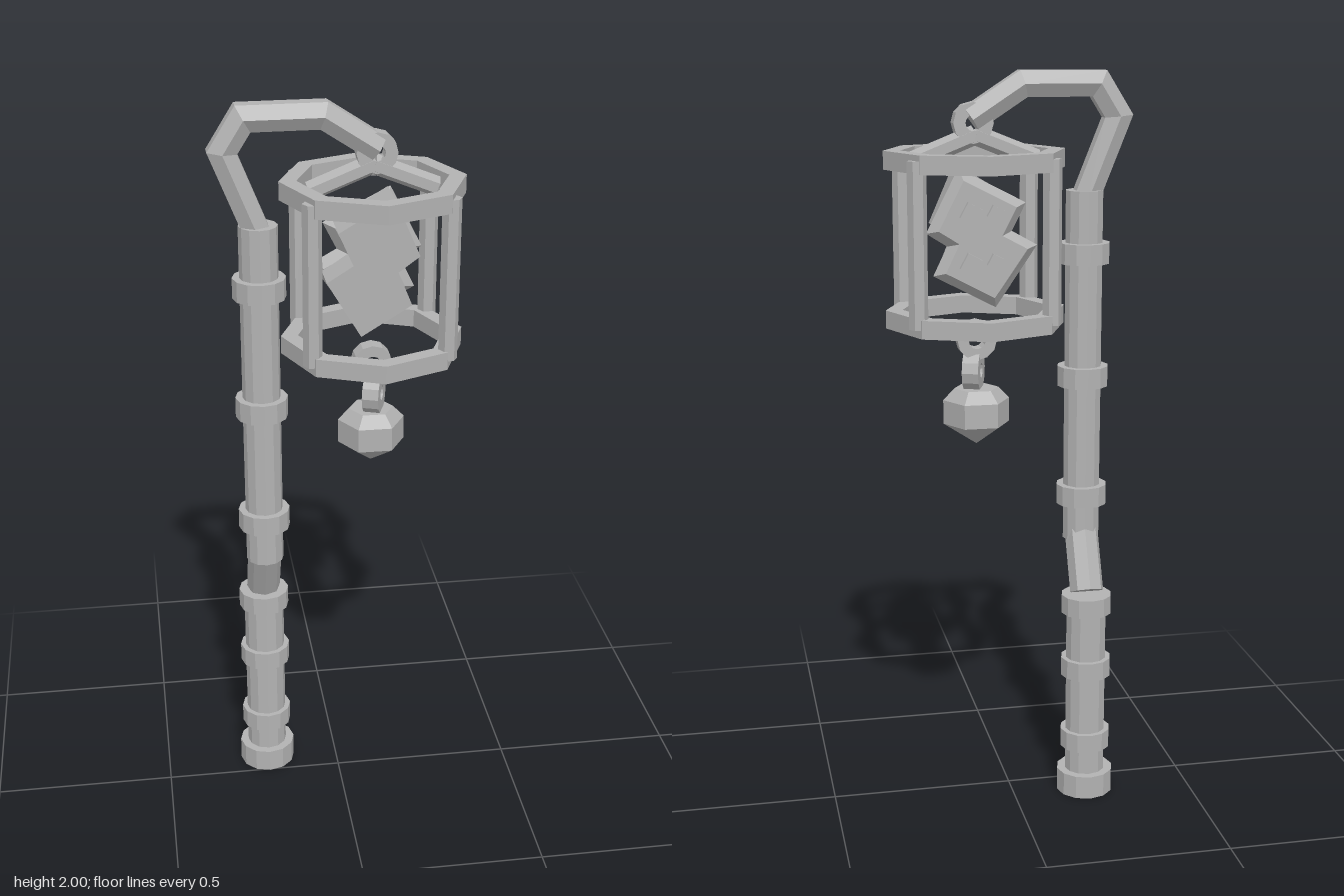
import * as THREE from 'three';

const grey = new THREE.MeshStandardMaterial({ color: 0xb2b2b2 });
grey.name = 'grey';

// Faceted mesh with a name
function part(name, geometry, x = 0, y = 0, z = 0) {
  const g = geometry.index ? geometry.toNonIndexed() : geometry;
  g.computeVertexNormals();
  const mesh = new THREE.Mesh(g, grey);
  mesh.name = name;
  mesh.position.set(x, y, z);
  return mesh;
}

// Upright prism between two heights
function prism(name, r, y0, y1, sides, x, z) {
  return part(name, new THREE.CylinderGeometry(r, r, y1 - y0, sides), x, (y0 + y1) / 2, z);
}

// Prism between two points, turned about its own axis
function bar(name, r, a, b, sides, twist = 0) {
  const p = new THREE.Vector3(...a), q = new THREE.Vector3(...b);
  const dir = q.clone().sub(p);
  const mesh = part(name, new THREE.CylinderGeometry(r, r, dir.length(), sides).rotateY(twist));
  mesh.position.copy(p).add(q).multiplyScalar(0.5);
  mesh.quaternion.setFromUnitVectors(new THREE.Vector3(0, 1, 0), dir.normalize());
  return mesh;
}

function polygon(r, sides) {
  return Array.from({ length: sides }, (_, i) => {
    const a = (i / sides) * Math.PI * 2;
    return new THREE.Vector2(Math.cos(a) * r, Math.sin(a) * r);
  });
}

// Flat polygonal ring, centred, facing z
function ringGeometry(outer, inner, depth, sides) {
  const shape = new THREE.Shape(polygon(outer, sides));
  shape.holes.push(new THREE.Path(polygon(inner, sides)));
  return new THREE.ExtrudeGeometry(shape, { depth, bevelEnabled: false }).translate(0, 0, -depth / 2);
}

// Hexagonal rod with mitred corners along a path in the xy plane
function mitredRod(path, r) {
  const pts = path.map(p => new THREE.Vector2(...p));
  const pos = [], idx = [], n = 6, last = pts.length - 1;
  pts.forEach((p, i) => {
    const before = p.clone().sub(pts[Math.max(i - 1, 0)]).normalize();
    const after = pts[Math.min(i + 1, last)].clone().sub(p).normalize();
    const t = before.clone().add(after).normalize();
    const miter = 1 / t.dot(i < last ? after : before);
    for (let j = 0; j < n; j++) {
      const a = Math.PI / 2 + (j / n) * Math.PI * 2;
      const u = Math.cos(a) * r * miter;
      pos.push(p.x - t.y * u, p.y + t.x * u, Math.sin(a) * r);
    }
  });
  for (let i = 0; i < last; i++) {
    for (let j = 0; j < n; j++) {
      const a = i * n + j, b = i * n + ((j + 1) % n);
      idx.push(a, b, a + n, b, b + n, a + n);
    }
  }
  for (let j = 1; j < n - 1; j++) {
    idx.push(0, j + 1, j, last * n, last * n + j, last * n + j + 1);
  }
  const g = new THREE.BufferGeometry();
  g.setAttribute('position', new THREE.Float32BufferAttribute(pos, 3));
  g.setIndex(idx);
  return g;
}

export function createModel() {
  const model = new THREE.Group();
  model.name = 'lanternStaff';
  const px = -0.205, lowZ = -0.074, cx = 0.089;

  // Shaft: offset lower grip, slanted joint, upper pole
  model.add(prism('lowerPole', 0.056, 0, 0.585, 12, px, lowZ));
  model.add(prism('poleBase', 0.079, 0, 0.065, 12, px, lowZ));
  model.add(bar('slantedJoint', 0.047, [px, 0.77, 0.003], [px, 0.595, -0.078], 8));
  model.add(prism('upperPole', 0.051, 0.73, 1.69, 12, px, 0));
  for (const y of [0.135, 0.35, 0.535]) model.add(prism('lowerBand', 0.07, y, y + 0.052, 12, px, lowZ));
  for (const y of [0.83, 1.163, 1.497]) model.add(prism('upperBand', 0.07, y, y + 0.055, 12, px, 0));

  // Bent hook at the top
  model.add(part('hook', mitredRod([
    [-0.203, 1.66], [-0.291, 1.881], [-0.238, 1.965], [-0.037, 1.966], [0.1, 1.877],
  ], 0.039)));

  // Hanging ring and sloped hangers
  model.add(part('hangingRing', ringGeometry(0.053, 0.021, 0.044, 12), 0.096, 1.868, 0));
  for (const s of [-1, 1]) {
    model.add(bar('hanger', 0.026, [cx, 1.837, 0], [cx + s * 0.163, 1.772, 0], 6, Math.PI / 6));
  }

  // Octagonal cage with four posts
  for (const y of [1.362, 1.776]) {
    const hoop = part('cageHoop', ringGeometry(0.24, 0.195, 0.048, 8), cx, y, 0);
    hoop.rotation.x = -Math.PI / 2;
    model.add(hoop);
  }
  for (const sx of [-1, 1]) {
    for (const sz of [-1, 1]) {
      const post = prism('cagePost', 0.025, 1.36, 1.785, 6, cx + sx * 0.174, sz * 0.145);
      post.rotation.y = Math.PI / 6;
      model.add(post);
    }
  }

  // Core: two overlapping tilted blocks as one notched slab, bevelled at the back
  const outline = [
    [-0.02, 1.675], [0.148, 1.76], [0.228, 1.606], [0.162, 1.565],
    [0.206, 1.475], [0.05, 1.394], [-0.056, 1.545], [0.025, 1.588],
  ];
  const midY = 1.577;
  const slab = (sx, sy) => new THREE.Shape(
    outline.map(([x, y]) => new THREE.Vector2((x - cx) * sx, (y - midY) * sy)));
  model.add(part('coreFront', new THREE.ExtrudeGeometry(slab(0.85, 1),
    { depth: 0.112, bevelEnabled: false }), cx - 0.003, midY, -0.057));
  model.add(part('coreBack', new THREE.ExtrudeGeometry(slab(0.82, 0.83),
    { depth: 0.002, bevelThickness: 0.026, bevelSize: 0.022, bevelSegments: 1 }), cx - 0.002, midY, -0.068));
  for (const [x, y, s] of [[0.054, 1.645, 0.033], [0.117, 1.645, 0.045], [0.054, 1.52, 0.033], [0.117, 1.515, 0.045]]) {
    const stud = part('coreStud', new THREE.BoxGeometry(s, s, 0.035), x, y, -0.092);
    stud.rotation.z = 0.5;
    model.add(stud);
  }

  // Chain links and faceted pendant
  model.add(part('upperLink', ringGeometry(0.053, 0.023, 0.044, 12), cx, 1.3, 0));
  const link = part('lowerLink', ringGeometry(0.055, 0.02, 0.044, 12), cx + 0.006, 1.215, 0.008);
  link.rotation.y = Math.PI / 2 - 0.35;
  model.add(link);
  const profile = [[0, 1.013], [0.09, 1.072], [0.09, 1.137], [0.06, 1.168], [0, 1.168]]
    .map(([r, y]) => new THREE.Vector2(r, y));
  const pendant = part('pendant', new THREE.LatheGeometry(profile, 6), cx, 0, 0);
  pendant.rotation.y = Math.PI / 6;
  model.add(pendant);

  return model;
}
